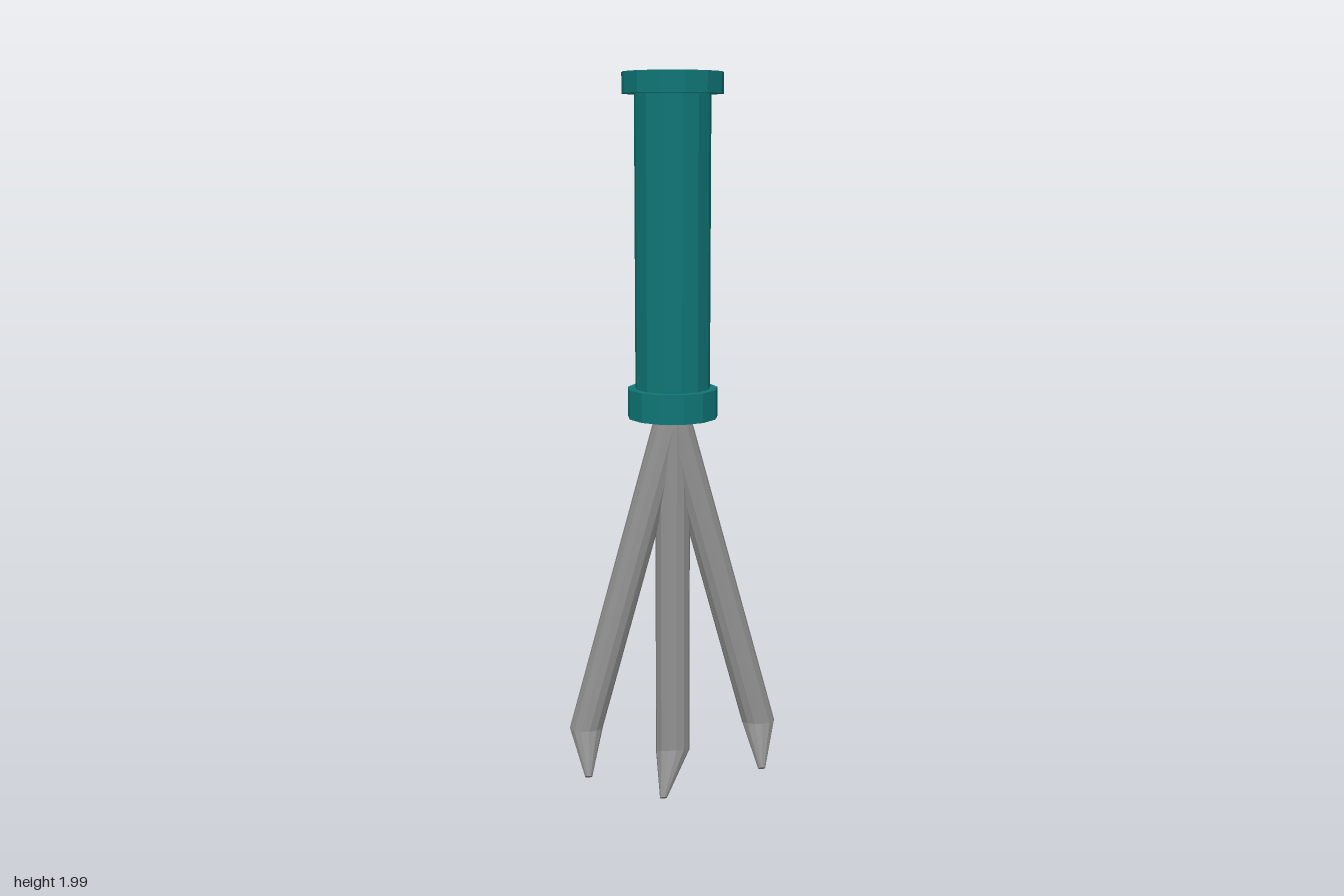
import * as THREE from 'three';

const SIDES = 13;

// Closed loft through rings of { c: centre, r: radius, tilt: rise in y per unit z }
function loft(rings) {
  const pos = [], index = [];
  for (const { c, r, tilt = 0 } of rings) {
    for (let i = 0; i < SIDES; i++) {
      const a = (i / SIDES) * Math.PI * 2;
      const z = r * Math.sin(a);
      pos.push(c[0] + r * Math.cos(a), c[1] + tilt * z, c[2] + z);
    }
  }
  const last = (rings.length - 1) * SIDES;
  const topCentre = pos.length / 3, endCentre = topCentre + 1;
  pos.push(...rings[0].c, ...rings[rings.length - 1].c);
  for (let i = 0; i < SIDES; i++) {
    const j = (i + 1) % SIDES;
    for (let k = 0; k < last; k += SIDES) {
      index.push(k + i, k + j, k + SIDES + i);
      index.push(k + j, k + SIDES + j, k + SIDES + i);
    }
    index.push(topCentre, j, i, endCentre, last + i, last + j);
  }
  const g = new THREE.BufferGeometry();
  g.setAttribute('position', new THREE.Float32BufferAttribute(pos, 3));
  g.setIndex(index);
  const flat = g.toNonIndexed();
  flat.computeVertexNormals();
  return flat;
}

export function createModel() {
  const teal = new THREE.MeshStandardMaterial({ color: 0x107676 });
  teal.name = 'teal handle';
  const grey = new THREE.MeshStandardMaterial({ color: 0x929292 });
  grey.name = 'grey metal';

  const model = new THREE.Group();
  model.name = 'handCultivator';
  const add = (name, geometry, material) => {
    const mesh = new THREE.Mesh(geometry, material);
    mesh.name = name;
    model.add(mesh);
  };

  // Handle: end cap, grip and collar
  for (const [name, r, y0, y1] of [
    ['endCap', 0.135, 1.945, 2],
    ['grip', 0.102, 1.16, 1.95],
    ['collar', 0.123, 1.09, 1.17],
  ]) {
    add(name, loft([{ c: [0, y1, 0], r }, { c: [0, y0, 0], r }]), teal);
  }

  // Middle tine, with its point bent forward and slightly to the right
  add('middleTine', loft([
    { c: [0, 1.12, 0], r: 0.048 },
    { c: [0, 0.12, 0], r: 0.048, tilt: 0.4 },
    { c: [-0.035, 0.012, 0.079], r: 0.01, tilt: 0.7 },
  ]), grey);

  // Splayed side tines, points bent straight forward
  for (const s of [-1, 1]) {
    add(s < 0 ? 'rightTine' : 'leftTine', loft([
      { c: [0, 1.1, 0], r: 0.047 },
      { c: [s * 0.246, 0.2, 0], r: 0.047, tilt: 0.15 },
      { c: [s * 0.245, 0.086, 0.077], r: 0.01, tilt: 0.7 },
    ]), grey);
  }
  return model;
}
